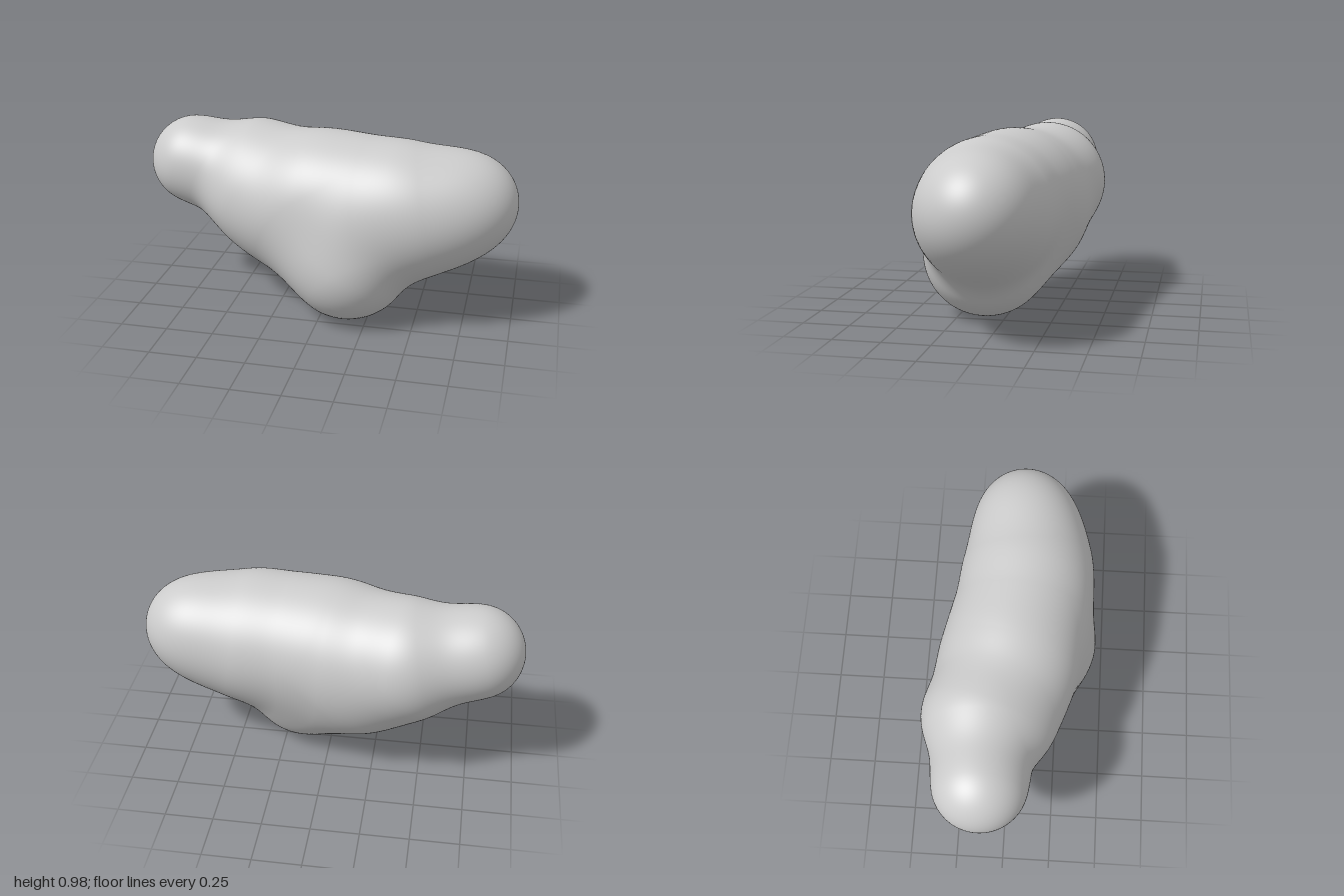
import * as THREE from 'three';

// Overlapping lobes that melt together: x, y, z, radius
const LOBES = [
  [-0.76, 0.73, -0.12, 0.24],
  [-0.4, 0.65, -0.12, 0.325],
  [-0.35, 0.56, 0, 0.235],
  [-0.16, 0.45, -0.045, 0.295],
  [-0.02, 0.61, -0.005, 0.367],
  [0.14, 0.335, 0.11, 0.335],
  [0.3, 0.615, 0.047, 0.345],
  [0.53, 0.6, 0.06, 0.322],
  [0.75, 0.657, 0.025, 0.25],
].map(([x, y, z, r]) => ({ center: new THREE.Vector3(x, y, z), r }));
const BLEND = 0.16;

// Signed distance to the smoothly joined lobes
function distance(p) {
  let d = Infinity;
  for (const { center, r } of LOBES) {
    const s = p.distanceTo(center) - r;
    const h = d === Infinity ? 0 : Math.max(BLEND - Math.abs(d - s), 0) / BLEND;
    d = Math.min(d, s) - h * h * BLEND / 4;
  }
  return d;
}

function surfaceNormal(p) {
  const e = 0.004;
  const n = ['x', 'y', 'z'].map((axis) => {
    const a = p.clone(), b = p.clone();
    a[axis] += e;
    b[axis] -= e;
    return distance(a) - distance(b);
  });
  return new THREE.Vector3(...n).normalize();
}

// A capsule wrapped onto the lobes, each vertex cast from an inner spine
function blobGeometry() {
  const half = 0.74;
  const spine = new THREE.QuadraticBezierCurve3(
    new THREE.Vector3(-half, 0.72, -0.11),
    new THREE.Vector3(0, 0.42, 0.06),
    new THREE.Vector3(half, 0.65, 0.025)
  );
  const geo = new THREE.CapsuleGeometry(0.24, half * 2, 28, 112, 150);
  geo.rotateZ(-Math.PI / 2);
  const pos = geo.attributes.position, nor = geo.attributes.normal;
  const p = new THREE.Vector3(), dir = new THREE.Vector3();
  for (let i = 0; i < pos.count; i++) {
    const t = THREE.MathUtils.clamp(pos.getX(i) / (2 * half) + 0.5, 0, 1);
    const origin = spine.getPoint(t);
    dir.fromBufferAttribute(nor, i).normalize();
    let reach = 0.9;
    for (let step = 0; step < 80; step++) {
      const d = distance(p.copy(origin).addScaledVector(dir, reach));
      reach = Math.max(reach - d, 0.05);
      if (Math.abs(d) < 0.0002) break;
    }
    p.copy(origin).addScaledVector(dir, reach);
    const n = surfaceNormal(p);
    pos.setXYZ(i, p.x, p.y, p.z);
    nor.setXYZ(i, n.x, n.y, n.z);
  }
  return geo;
}

export function createModel() {
  const group = new THREE.Group();
  group.name = 'blob';
  const body = new THREE.Mesh(
    blobGeometry(),
    new THREE.MeshStandardMaterial({ color: 0xcccccc })
  );
  body.name = 'lobedBody';
  group.add(body);
  return group;
}
